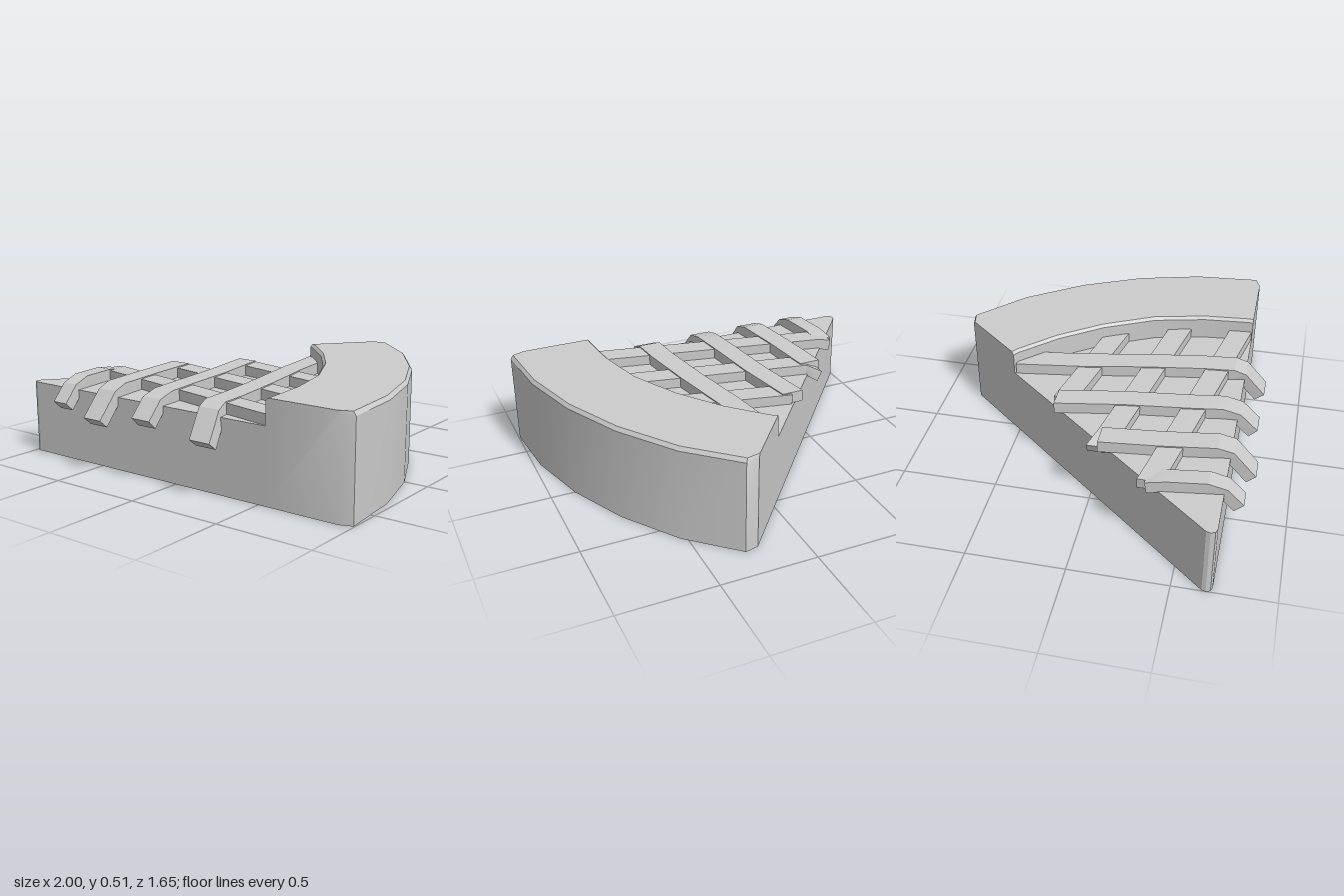
import * as THREE from 'three';
import { toCreasedNormals } from 'three/addons/utils/BufferGeometryUtils.js';

const material = new THREE.MeshStandardMaterial({ color: 0xcccccc });

// Skin a list of convex cross-sections (same point count) and cap both ends
function loft(sections, crease) {
  const n = sections[0].length, last = sections.length - 1;
  const tris = [];
  for (let i = 0; i < last; i++) {
    for (let j = 0; j < n; j++) {
      const k = (j + 1) % n;
      const a = sections[i][j], b = sections[i][k], c = sections[i + 1][k], d = sections[i + 1][j];
      tris.push([a, b, c], [a, c, d]);
    }
  }
  for (let j = 1; j < n - 1; j++) {
    tris.push([sections[0][0], sections[0][j + 1], sections[0][j]]);
    tris.push([sections[last][0], sections[last][j], sections[last][j + 1]]);
  }
  // Turn the faces outward whichever way the sections run
  let volume = 0;
  const cross = new THREE.Vector3();
  for (const [a, b, c] of tris) volume += a.dot(cross.crossVectors(b, c));
  if (volume < 0) tris.forEach((t) => t.reverse());
  const geometry = new THREE.BufferGeometry().setFromPoints(tris.flat());
  return toCreasedNormals(geometry, crease);
}

// Bar following the top-centre points of a path; `across` is its half width
function strip(path, across, thickness) {
  const points = path.map((p) => new THREE.Vector3(...p));
  const sections = points.map((p, i) => {
    const tangent = points[Math.min(i + 1, points.length - 1)].clone().sub(points[Math.max(i - 1, 0)]).normalize();
    const down = new THREE.Vector3().crossVectors(tangent, across).normalize();
    if (down.y > 0) down.negate();
    const under = p.clone().addScaledVector(down, thickness);
    return [p.clone().sub(across), p.clone().add(across), under.clone().add(across), under.clone().sub(across)];
  });
  return loft(sections, 0.3);
}

export function createModel() {
  const group = new THREE.Group();
  const add = (name, geometry) => {
    const mesh = new THREE.Mesh(geometry, material);
    mesh.name = name;
    group.add(mesh);
  };

  // Plan outlines as [x, z], from the front cut to the rear cut
  const outer = [[0.93, 0.695], [0.995, 0.67], [0.965, 0.33], [0.875, 0], [0.73, -0.31], [0.53, -0.6], [0.29, -0.825], [0.22, -0.81]];
  const inner = [[0.54, 0.695], [0.54, 0.66], [0.52, 0.43], [0.455, 0.16], [0.325, -0.1], [0.17, -0.315], [0, -0.49], [-0.03, -0.51]];

  // Filling wedge with a blunted tip
  const outline = [[-0.97, 0.695], ...inner, [-0.995, 0.645], [-1, 0.665], [-0.993, 0.687]];
  const shape = new THREE.Shape(outline.map(([x, z]) => new THREE.Vector2(x, -z)));
  const filling = new THREE.ExtrudeGeometry(shape, { depth: 0.38, bevelEnabled: false });
  add('filling', filling.rotateX(-Math.PI / 2));

  // Raised crust with softened upper edges
  const crustSections = outer.map(([ox, oz], i) => {
    const [ix, iz] = inner[i];
    const length = Math.hypot(ox - ix, oz - iz);
    const at = (t, y) => new THREE.Vector3(ix + (ox - ix) * t, y, iz + (oz - iz) * t);
    const e = 0.014 / length;
    return [at(0, 0), at(1, 0), at(1, 0.49), at(1 - e, 0.51), at(e, 0.51), at(0, 0.495)];
  });
  add('crust', loft(crustSections, 0.5));

  // Lengthwise lattice strips, drooping over the front cut
  const lengthwise = [
    { half: 0.045, path: [[-0.745, 0.425, 0.33], [-0.735, 0.44, 0.43], [-0.71, 0.44, 0.62], [-0.7, 0.41, 0.71], [-0.695, 0.325, 0.79]] },
    { half: 0.057, path: [[-0.51, 0.44, 0.06], [-0.48, 0.44, 0.35], [-0.44, 0.44, 0.63], [-0.43, 0.415, 0.71], [-0.43, 0.285, 0.825]] },
    { half: 0.057, path: [[-0.26, 0.44, -0.22], [-0.2, 0.44, 0.12], [-0.16, 0.44, 0.45], [-0.135, 0.44, 0.62], [-0.13, 0.415, 0.71], [-0.125, 0.325, 0.8]] },
    { half: 0.06, path: [[0.03, 0.44, -0.5], [0.08, 0.44, -0.16], [0.145, 0.44, 0.17], [0.195, 0.44, 0.48], [0.21, 0.44, 0.64], [0.22, 0.415, 0.7], [0.245, 0.28, 0.805]] },
  ];
  for (const { half, path } of lengthwise) {
    add('lengthwiseStrip', strip(path, new THREE.Vector3(half, 0, 0), 0.062));
  }

  // Crosswise lattice strips, running from the rear cut into the crust
  const crosswise = [
    [[-0.25, 0.434, -0.175], [0.4, 0.434, -0.03]],
    [[-0.555, 0.4, 0.06], [-0.48, 0.434, 0.1], [0.5, 0.434, 0.3]],
    [[-0.77, 0.425, 0.35], [-0.7, 0.434, 0.37], [0.55, 0.434, 0.632]],
  ];
  for (const path of crosswise) {
    add('crosswiseStrip', strip(path, new THREE.Vector3(0, 0, 0.06), 0.06));
  }

  return group;
}
